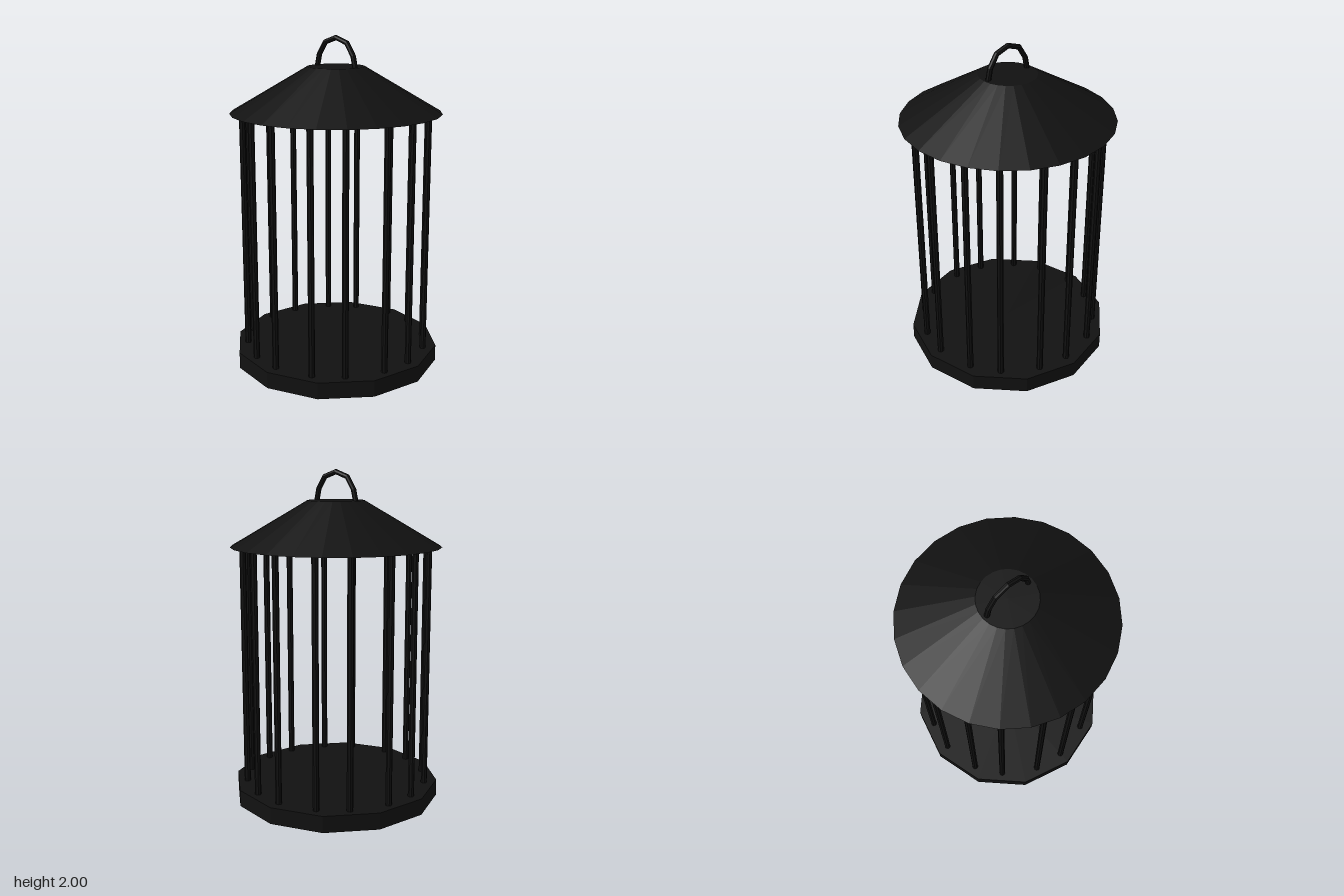
import * as THREE from 'three';

export function createModel() {
  const model = new THREE.Group();
  const iron = new THREE.MeshStandardMaterial({ color: 0x111111, flatShading: true });

  function add(name, geometry, x, y, z, parent = model) {
    const mesh = new THREE.Mesh(geometry, iron);
    mesh.name = name;
    mesh.position.set(x, y, z);
    parent.add(mesh);
    return mesh;
  }

  // Twelve-sided floor plate
  add('base', new THREE.CylinderGeometry(0.63, 0.63, 0.1, 12), 0, 0.05, 0);

  // Sloping roof with a flat top
  const roofBottom = 1.55, roofTop = 1.82;
  add('roof', new THREE.CylinderGeometry(0.17, 0.63, roofTop - roofBottom, 24),
    0, (roofBottom + roofTop) / 2, 0);

  // Sixteen upright bars, four to each quarter turn
  const bars = new THREE.Group();
  bars.name = 'bars';
  model.add(bars);
  const barBottom = 0.09, barTop = 1.56, ring = 0.555;
  const barGeometry = new THREE.CylinderGeometry(0.019, 0.019, barTop - barBottom, 8);
  for (let quarter = 0; quarter < 4; quarter++) {
    for (const degrees of [0, 25, 45, 70]) {
      const a = THREE.MathUtils.degToRad(quarter * 90 + degrees);
      add('bar', barGeometry, ring * Math.sin(a), (barBottom + barTop) / 2, ring * Math.cos(a), bars);
    }
  }

  // Faceted carrying loop, its ends sunk into the roof
  const half = [[0.146, 1.80], [0.127, 1.886], [0.081, 1.957]];
  const points = [
    ...half.map(([x, y]) => new THREE.Vector3(-x, y, 0)),
    new THREE.Vector3(0, 1.985, 0),
    ...half.reverse().map(([x, y]) => new THREE.Vector3(x, y, 0)),
  ];
  const loop = new THREE.CatmullRomCurve3(points);
  add('handle', new THREE.TubeGeometry(loop, 6, 0.016, 8), 0, 0, 0);

  return model;
}
